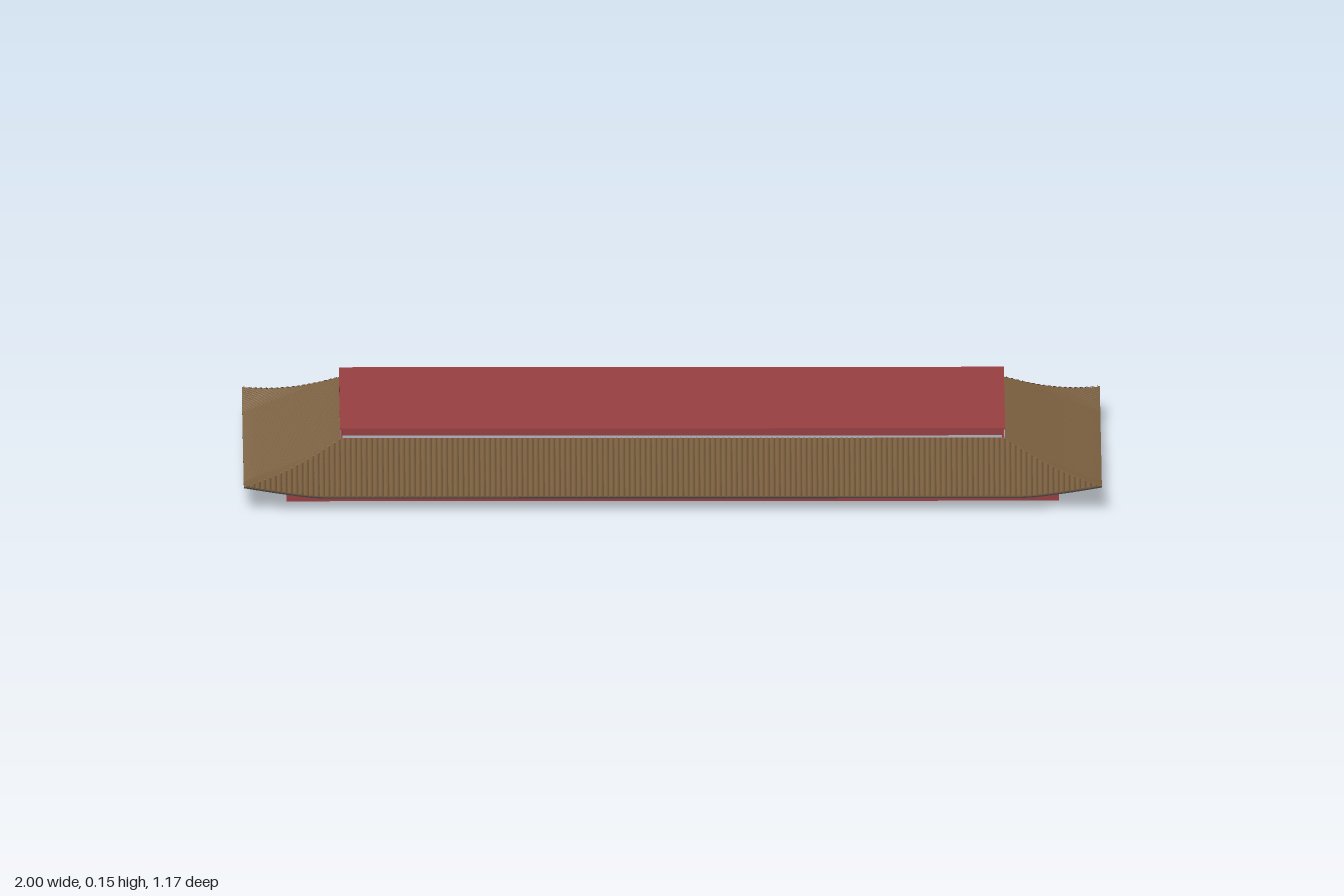
import * as THREE from 'three';
import { mergeGeometries } from 'three/addons/utils/BufferGeometryUtils.js';

const IX = 0.775, IZ = 0.36, RUN = 0.225; // inner opening and slope run
const PITCH = 0.0125, RIB = 0.005;        // tile spacing and rib radius

// Height of the roof at lateral position p and slope fraction t; eaves lift at the corners
function roofY(p, t, inner) {
  const u = Math.max(0, (Math.abs(p) - (inner + RUN - 0.18)) / 0.18);
  return 0.122 - 0.105 * t + 0.012 * t * t + 0.025 * t * Math.pow(u, 1.25);
}

// Surface from a grid: point(i, j) gives [x, y, z]; i runs sideways, j runs down the slope
function sheet(ni, nj, point) {
  const pos = [], index = [];
  for (let i = 0; i <= ni; i++) for (let j = 0; j <= nj; j++) pos.push(...point(i, j));
  for (let i = 0; i < ni; i++) for (let j = 0; j < nj; j++) {
    const a = i * (nj + 1) + j, b = a + nj + 1;
    index.push(a, a + 1, b, b, a + 1, b + 1);
  }
  const g = new THREE.BufferGeometry();
  g.setAttribute('position', new THREE.Float32BufferAttribute(pos, 3));
  g.setIndex(index);
  g.computeVertexNormals();
  return g;
}

// Smooth bed of one slope, mitred at the hips and lowered by drop
function slopeBed(inner, depth, drop) {
  return sheet(64, 8, (i, j) => {
    const t = j / 8, p = (i / 32 - 1) * (inner + RUN * t);
    return [p, roofY(p, t, inner) - drop, depth + RUN * t];
  });
}

// Rows of shallow rounded cover tiles running down one slope
function slopeRibs(inner, depth) {
  const half = inner + RUN, n = Math.round(2 * half / PITCH), ribs = [];
  for (let k = 0; k < n; k++) {
    const c = -half + (k + 0.5) * 2 * half / n;
    const t0 = Math.max(0, (Math.abs(c) - inner) / RUN);
    ribs.push(sheet(4, 6, (i, j) => {
      const t = t0 + (1 - t0) * j / 6, a = Math.PI * (1 - i / 4);
      return [c + RIB * Math.cos(a), roofY(c, t, inner) + RIB * 0.6 * Math.sin(a), depth + RUN * t];
    }));
  }
  return mergeGeometries(ribs);
}

export function createModel() {
  const group = new THREE.Group();
  const mat = (name, color, side = THREE.FrontSide) => {
    const m = new THREE.MeshStandardMaterial({ color, side });
    m.name = name;
    return m;
  };
  const red = mat('red paint', 0x963e41);
  const tile = mat('brown tile', 0x785d3d, THREE.DoubleSide);
  const bed = mat('brown tile bed', 0x5f4a32, THREE.DoubleSide);
  const dark = mat('dark underside', 0x363638, THREE.DoubleSide);

  const add = (parent, name, geometry, material, x = 0, y = 0, z = 0) => {
    const mesh = new THREE.Mesh(geometry, material);
    mesh.name = name;
    mesh.position.set(x, y, z);
    parent.add(mesh);
  };

  // Rectangular ring of thin walls
  function wallRing(name, hx, hz, y0, y1, thick) {
    const ring = new THREE.Group(), h = y1 - y0, y = (y0 + y1) / 2;
    ring.name = name;
    for (const s of [-1, 1]) {
      add(ring, 'longWall', new THREE.BoxGeometry(2 * hx, h, thick), red, 0, y, s * (hz - thick / 2));
      add(ring, 'endWall', new THREE.BoxGeometry(thick, h, 2 * (hz - thick)), red, s * (hx - thick / 2), y, 0);
    }
    group.add(ring);
  }
  wallRing('baseFrame', 0.9, 0.487, 0, 0.063, 0.005);
  wallRing('innerCurb', IX - 0.002, IZ - 0.002, 0.088, 0.123, 0.004);

  // Four tiled slopes
  for (let k = 0; k < 4; k++) {
    const [inner, depth] = k % 2 ? [IZ, IX] : [IX, IZ];
    const slope = new THREE.Group();
    slope.name = ['front', 'left', 'back', 'right'][k] + 'Slope';
    slope.rotation.y = k * Math.PI / 2;
    add(slope, 'tileBed', slopeBed(inner, depth, 0), bed);
    add(slope, 'soffit', slopeBed(inner, depth, 0.003), dark);
    add(slope, 'tileRibs', slopeRibs(inner, depth), tile);
    group.add(slope);
  }

  // Flat deck floating just above the slopes
  add(group, 'topDeck', new THREE.BoxGeometry(2 * IX - 0.01, 0.017, 2 * IZ - 0.01), red, 0, 0.1375, 0);
  add(group, 'deckLip', new THREE.BoxGeometry(2 * IX, 0.003, 2 * IZ), red, 0, 0.1455, 0);
  return group;
}
